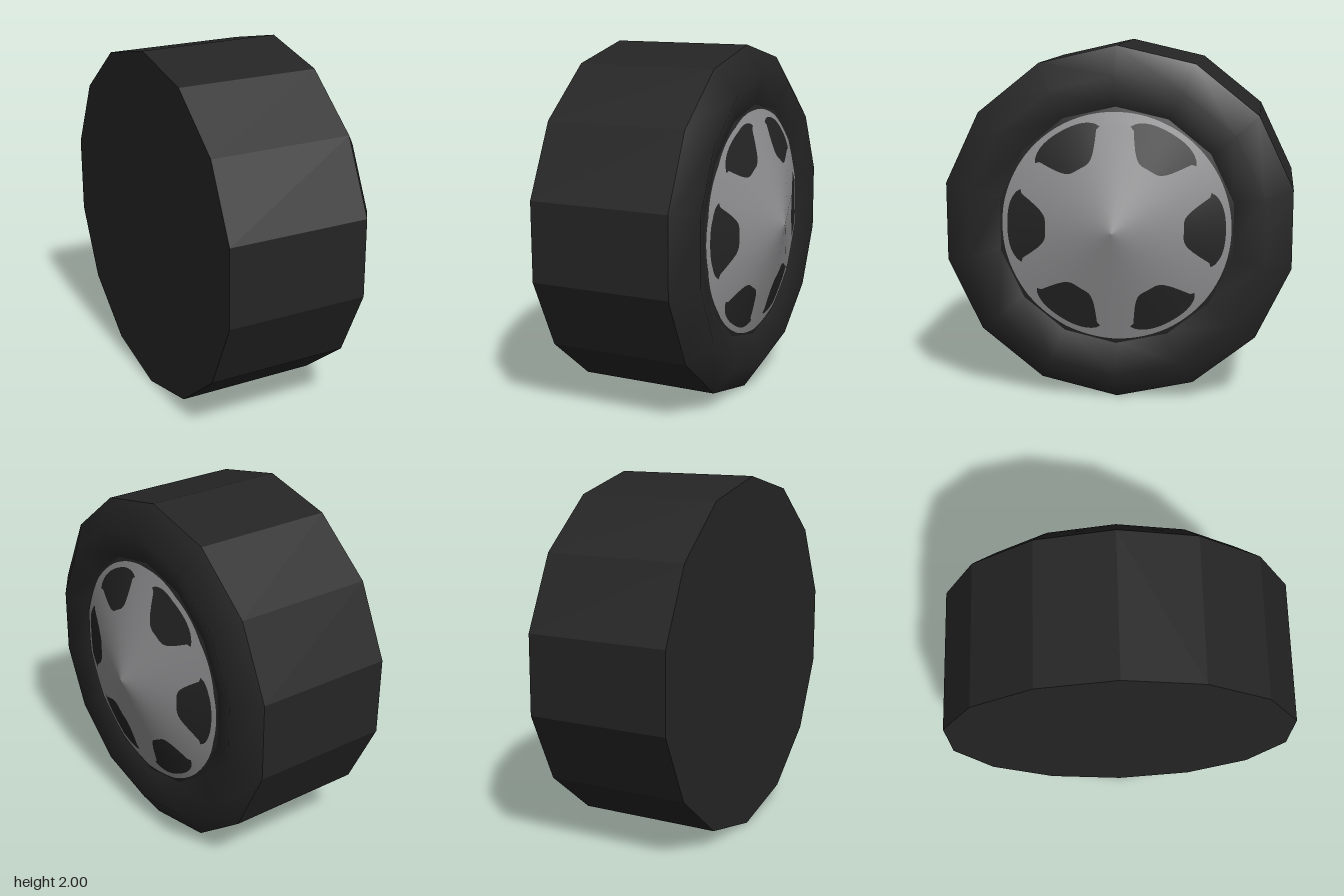
import * as THREE from 'three';

const SIDES = 14;          // the wheel is a 14-sided prism, one corner at the top
const STEPS = 168;         // angular steps on the hub, 12 per side
const APEX = 0.525, SLOPE = 0.287, HUB_EDGE = 0.67;

export function createModel() {
  const rubber = new THREE.MeshStandardMaterial({ color: 0x252525 });
  rubber.name = 'black rubber';
  const metal = new THREE.MeshStandardMaterial({ color: 0x919193 });
  metal.name = 'grey metal';

  const wheel = new THREE.Group();
  wheel.name = 'wheel';

  function add(name, geometry, material) {
    const mesh = new THREE.Mesh(geometry, material);
    mesh.name = name;
    wheel.add(mesh);
  }

  // Turned part about the x axis, from [radius, x] points
  function turned(profile, flat) {
    const points = profile.map(([r, x]) => new THREE.Vector2(r, x));
    let g = new THREE.LatheGeometry(points, SIDES, Math.PI / 2);
    g.rotateZ(-Math.PI / 2);
    g.translate(0, 1, 0);
    if (flat) {
      g = g.toNonIndexed();
      g.computeVertexNormals();
    }
    return g;
  }

  // Ratio of the polygon's radius to its corner radius at a given step
  function polygonRatio(i) {
    const side = Math.PI / SIDES;
    const angle = (i / STEPS) * Math.PI * 2;
    return Math.cos(side) / Math.cos((angle % (2 * side)) - side);
  }

  // Strip of the shallow hub cone between two radius rules
  function hubBand(inner, outer) {
    const position = [], normal = [], index = [];
    for (let i = 0; i <= STEPS; i++) {
      const a = (i / STEPS) * Math.PI * 2, c = Math.cos(a), s = Math.sin(a);
      const n = new THREE.Vector3(1, SLOPE * c, SLOPE * s).normalize();
      for (const r of [inner(i), outer(i)]) {
        position.push(APEX - SLOPE * r / polygonRatio(i), 1 + r * c, r * s);
        normal.push(n.x, n.y, n.z);
      }
      if (i < STEPS) {
        const k = i * 2;
        index.push(k, k + 1, k + 3, k, k + 3, k + 2);
      }
    }
    const g = new THREE.BufferGeometry();
    g.setAttribute('position', new THREE.Float32BufferAttribute(position, 3));
    g.setAttribute('normal', new THREE.Float32BufferAttribute(normal, 3));
    g.setIndex(index);
    return g;
  }

  // Six rounded fan-shaped openings, centred between the spokes
  function opening(i, tip, change) {
    const t = Math.abs((i % 28) - 14) / 9;
    return t > 1 ? 0.57 : tip + change * t ** 4;
  }
  const openingInner = (i) => opening(i, 0.385, 0.17);
  const openingOuter = (i) => opening(i, 0.612, -0.025);
  const rimRadius = () => 0.642;
  const hubEdge = (i) => HUB_EDGE * polygonRatio(i);

  // Tyre
  add('innerFace', turned([[0, -0.53], [1, -0.53]], true), rubber);
  add('tread', turned([[1, -0.53], [1, 0.283]], true), rubber);
  add('sidewall', turned([[1, 0.283], [0.845, 0.39], [HUB_EDGE, APEX - SLOPE * HUB_EDGE]], false), rubber);

  // Hub
  add('hubSpokes', hubBand(() => 0, openingInner), metal);
  add('hubOpenings', hubBand(openingInner, openingOuter), rubber);
  add('hubRim', hubBand(openingOuter, rimRadius), metal);
  add('hubSeat', hubBand(rimRadius, hubEdge), rubber);

  return wheel;
}
